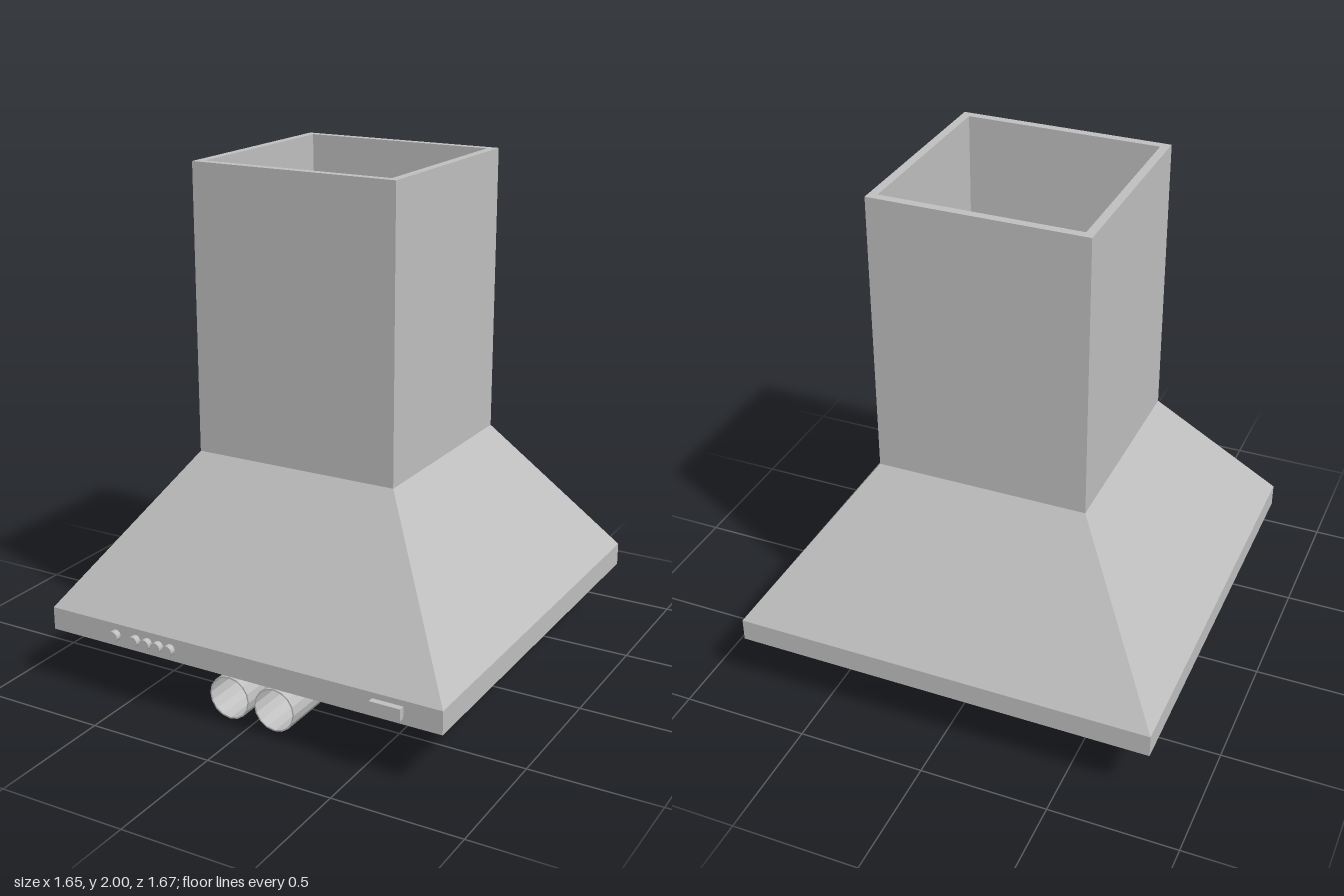
import * as THREE from 'three';
import { mergeGeometries } from 'three/addons/utils/BufferGeometryUtils.js';

const steel = new THREE.MeshStandardMaterial({ color: 0xc0c0c0, side: THREE.DoubleSide });
steel.name = 'brushedSteel';

const WALL = 0.033;
const BODY_Z = -0.0125; // body sits slightly back, the controls stick out in front

function add(parent, name, geometry, x = 0, y = 0, z = 0) {
  const mesh = new THREE.Mesh(geometry, steel);
  mesh.name = name;
  mesh.position.set(x, y, z);
  parent.add(mesh);
  return mesh;
}

function faceted(geometry) {
  const flat = geometry.index ? geometry.toNonIndexed() : geometry;
  flat.computeVertexNormals();
  return flat;
}

// Sweeps a list of [half width, height] around a square; outer side listed upwards
function squareLoft(profile) {
  const corners = [[1, 1], [1, -1], [-1, -1], [-1, 1]];
  const out = [];
  const point = ([r, y], k) => [corners[k % 4][0] * r, y, corners[k % 4][1] * r];
  for (let i = 0; i < profile.length - 1; i++) {
    for (let k = 0; k < 4; k++) {
      const a = point(profile[i], k), b = point(profile[i], k + 1);
      const c = point(profile[i + 1], k + 1), d = point(profile[i + 1], k);
      out.push(...a, ...b, ...c, ...a, ...c, ...d);
    }
  }
  const geometry = new THREE.BufferGeometry();
  geometry.setAttribute('position', new THREE.Float32BufferAttribute(out, 3));
  return faceted(geometry);
}

// Hollow duct: horizontal outlet, quarter bend, vertical riser
function ductGeometry() {
  const r = 0.085, lip = 0.079, sides = 16, bend = 0.325;
  const zFront = 0.71, zBend = 0.46, yLow = 0.09, yTop = 1.0;
  const yBend = yLow + bend, zRise = zBend - bend;

  const outlet = new THREE.CylinderGeometry(r, r, zFront - zBend, sides, 1, true)
    .rotateX(Math.PI / 2).translate(0, yLow, (zFront + zBend) / 2);
  const riser = new THREE.CylinderGeometry(r, r, yTop - yBend, sides, 1, true)
    .translate(0, (yTop + yBend) / 2, zRise);
  const turn = new THREE.Matrix4().makeBasis(
    new THREE.Vector3(0, 0, -1), new THREE.Vector3(0, -1, 0), new THREE.Vector3(-1, 0, 0));
  const elbow = new THREE.TorusGeometry(bend, r, sides, 7, Math.PI / 2)
    .applyMatrix4(turn).translate(0, yBend, zBend);
  const frontLip = new THREE.RingGeometry(lip, r, sides).rotateZ(Math.PI / 2).translate(0, yLow, zFront);
  const topLip = new THREE.RingGeometry(lip, r, sides).rotateX(-Math.PI / 2).translate(0, yTop, zRise);
  return faceted(mergeGeometries([outlet, riser, elbow, frontLip, topLip]));
}

export function createModel() {
  const model = new THREE.Group();
  model.name = 'rangeHood';

  // Hollow body
  const body = new THREE.Group();
  body.name = 'body';
  body.position.z = BODY_Z;
  model.add(body);
  const base = 0.8235, neck = 0.4115;
  add(body, 'baseRim', squareLoft([
    [base - WALL, 0.33], [base - WALL, 0.24], [base, 0.24], [base, 0.33]]));
  add(body, 'canopyOuter', squareLoft([[base, 0.33], [neck, 0.905]]));
  add(body, 'canopyInner', squareLoft([[neck - WALL, 0.905], [base - WALL, 0.33]]));
  add(body, 'chimney', squareLoft([
    [neck, 0.905], [neck, 2], [neck - WALL, 2], [neck - WALL, 0.905]]));

  // Control panel on the front of the rim
  const panelY = 0.285, depth = 0.024, panelZ = base + BODY_Z + depth / 2;
  const button = new THREE.CylinderGeometry(0.021, 0.021, depth, 20).rotateX(Math.PI / 2);
  for (const x of [-0.53, -0.44, -0.387, -0.337, -0.285]) {
    add(model, 'button', button, x, panelY, panelZ);
  }
  add(model, 'displayPanel', new THREE.BoxGeometry(0.12, 0.046, depth), 0.615, panelY, panelZ);

  // Twin ducts
  const duct = ductGeometry();
  for (const [name, x] of [['rightDuct', -0.098], ['leftDuct', 0.095]]) add(model, name, duct, x);

  return model;
}
